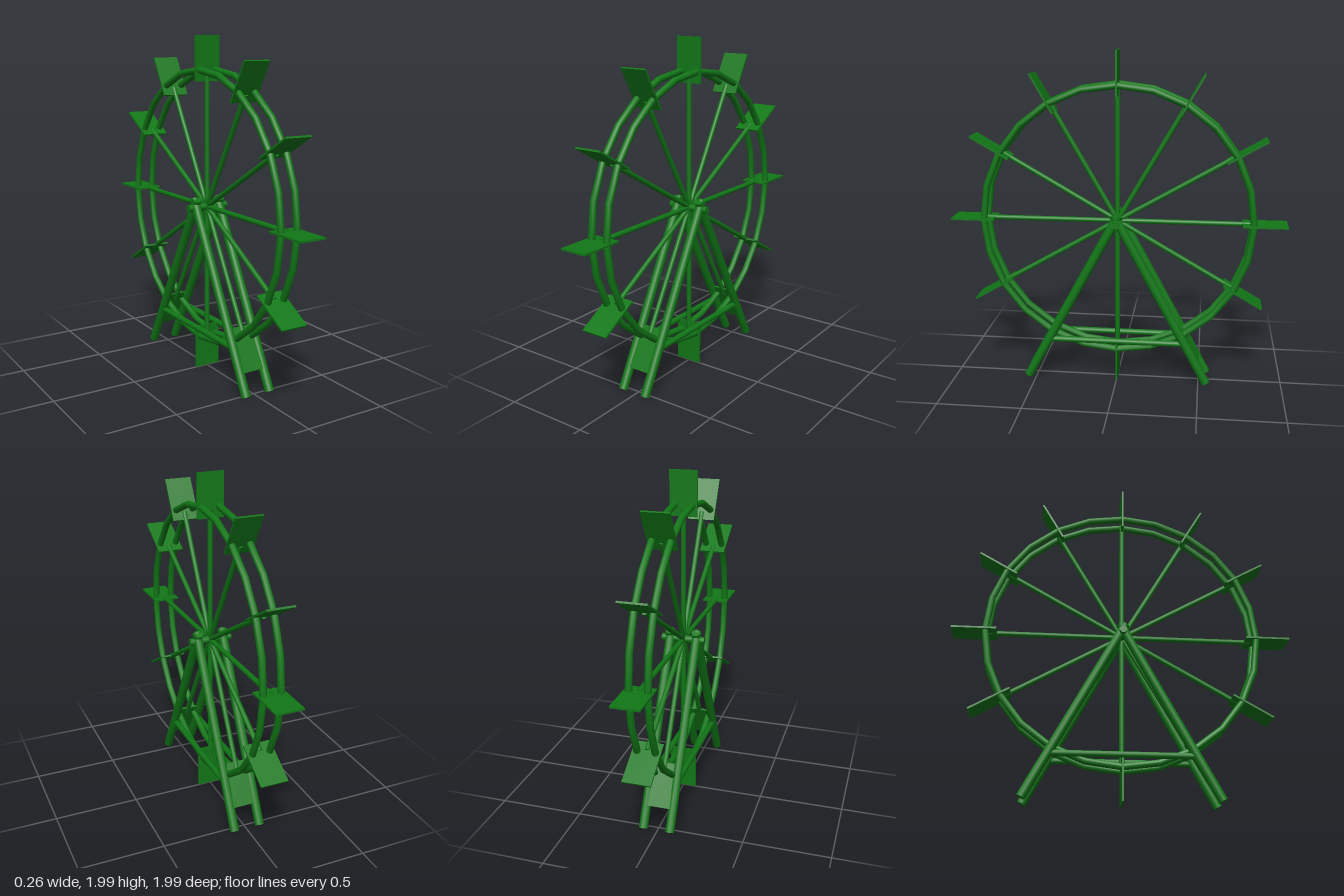
import * as THREE from 'three';

const material = new THREE.MeshStandardMaterial({ color: 0x117717 });
const CENTRE_Y = 1.005;
const LEG_X = 0.08;

function addMesh(parent, geometry, name) {
  const mesh = new THREE.Mesh(geometry, material);
  mesh.name = name;
  parent.add(mesh);
  return mesh;
}

// Round bar between two points
function addBar(parent, from, to, radius, name) {
  const a = new THREE.Vector3(...from);
  const b = new THREE.Vector3(...to);
  const dir = b.clone().sub(a);
  const bar = addMesh(parent, new THREE.CylinderGeometry(radius, radius, dir.length(), 12), name);
  bar.position.copy(a).add(b).multiplyScalar(0.5);
  bar.quaternion.setFromUnitVectors(new THREE.Vector3(0, 1, 0), dir.normalize());
  return bar;
}

function createWheel() {
  const wheel = new THREE.Group();
  wheel.name = 'wheel';
  wheel.position.y = CENTRE_Y;

  // Twin rims
  for (const side of [-1, 1]) {
    const rim = addMesh(wheel, new THREE.TorusGeometry(0.8, 0.02, 10, 24), side > 0 ? 'leftRim' : 'rightRim');
    rim.rotation.y = Math.PI / 2;
    rim.position.x = side * 0.052;
  }

  // Spokes, each ending in a flat paddle
  for (let i = 0; i < 12; i++) {
    const arm = new THREE.Group();
    arm.name = 'arm';
    arm.rotation.x = (i * Math.PI) / 6;
    addBar(arm, [0, 0, 0], [0, 0.785, 0], 0.015, 'spoke');
    const paddle = addMesh(arm, new THREE.BoxGeometry(0.162, 0.26, 0.011), 'paddle');
    paddle.position.y = 0.865;
    wheel.add(arm);
  }

  // Axle
  addBar(wheel, [-0.13, 0, 0], [0.13, 0, 0], 0.022, 'axle');
  return wheel;
}

// A-shaped support on one side of the wheel
function createSupport(side) {
  const support = new THREE.Group();
  support.name = side > 0 ? 'leftSupport' : 'rightSupport';
  const x = side * LEG_X;
  for (const dir of [-1, 1]) {
    addBar(support, [x, 0.02, dir * 0.545], [x, 1.055, dir * -0.015], 0.027, dir > 0 ? 'frontLeg' : 'backLeg');
  }
  addBar(support, [x, 0.266, -0.41], [x, 0.266, 0.41], 0.018, 'crossbar');
  return support;
}

export function createModel() {
  const model = new THREE.Group();
  model.name = 'waterWheel';
  model.add(createWheel(), createSupport(1), createSupport(-1));
  return model;
}
